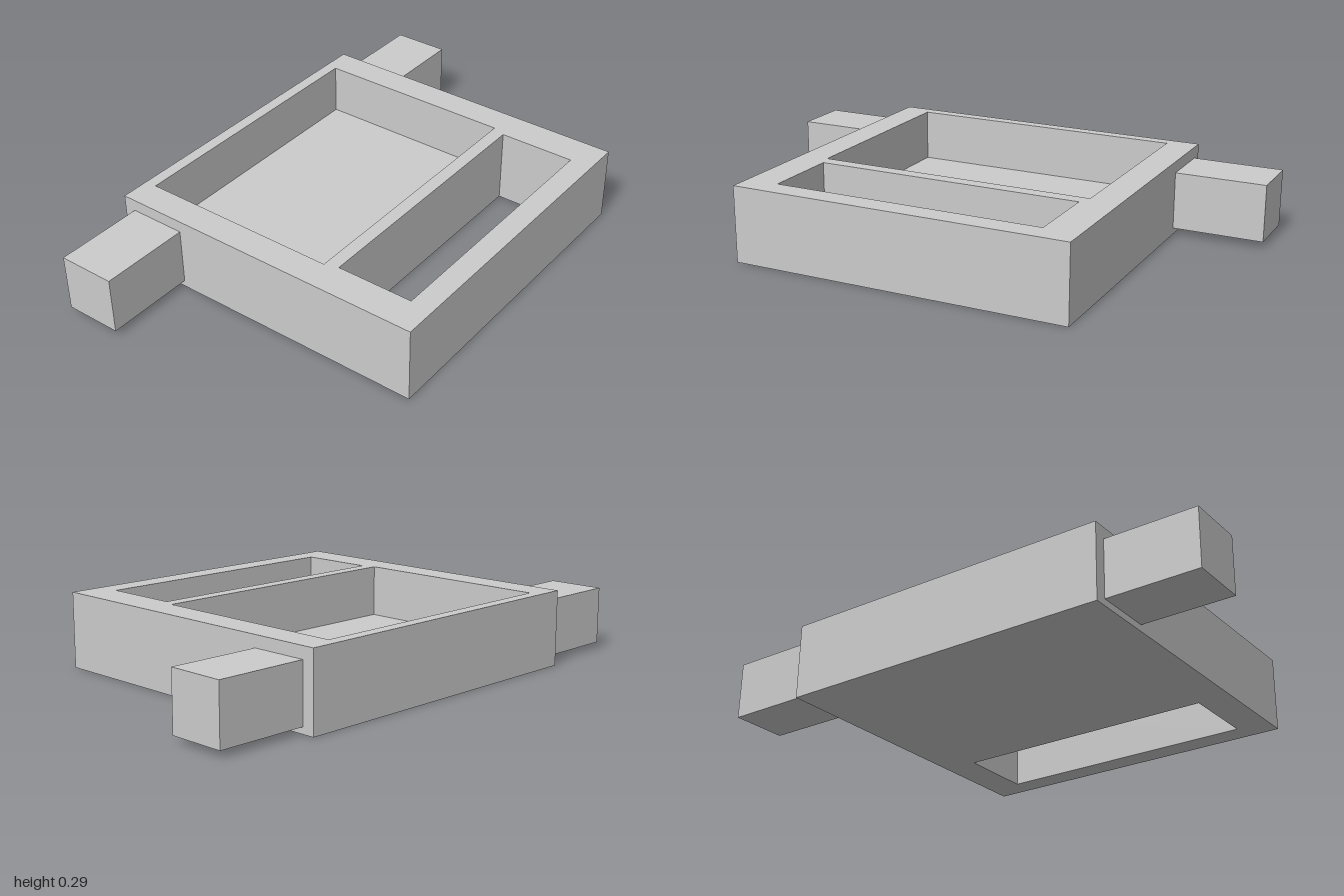
import * as THREE from 'three';

const material = new THREE.MeshStandardMaterial({ color: 0xcccccc, flatShading: true });

// Counter-clockwise rectangle on the ground plane; shape y runs along -z
function outline(Kind, [x0, x1], [z0, z1]) {
  return new Kind([[x0, -z1], [x1, -z1], [x1, -z0], [x0, -z0]].map(([x, y]) => new THREE.Vector2(x, y)));
}

function box(name, [x0, x1], [y0, y1], [z0, z1]) {
  const mesh = new THREE.Mesh(new THREE.BoxGeometry(x1 - x0, y1 - y0, z1 - z0), material);
  mesh.position.set((x0 + x1) / 2, (y0 + y1) / 2, (z0 + z1) / 2);
  mesh.name = name;
  return mesh;
}

export function createModel() {
  const group = new THREE.Group();
  group.name = 'trayWithArms';

  // Frame with the large pocket and the narrow slot cut through
  const pocketX = [-0.537, 0.535];
  const pocketZ = [-0.587, 0.195];
  const shape = outline(THREE.Shape, [-0.65, 0.65], [-0.633, 0.633]);
  shape.holes.push(
    outline(THREE.Path, pocketX, pocketZ),
    outline(THREE.Path, [-0.521, 0.515], [0.247, 0.545])
  );
  const geometry = new THREE.ExtrudeGeometry(shape, { depth: 0.29, bevelEnabled: false });
  geometry.rotateX(-Math.PI / 2);
  const frame = new THREE.Mesh(geometry, material);
  frame.name = 'frame';
  group.add(frame);

  // Floor closing the pocket, flush with the underside
  group.add(box('pocketFloor', pocketX, [0, 0.09], pocketZ));

  // Square side arms near the back
  const armY = [0.025, 0.245];
  const armZ = [-0.587, -0.366];
  group.add(box('leftArm', [0.65, 1], armY, armZ));
  group.add(box('rightArm', [-1, -0.65], armY, armZ));

  return group;
}
